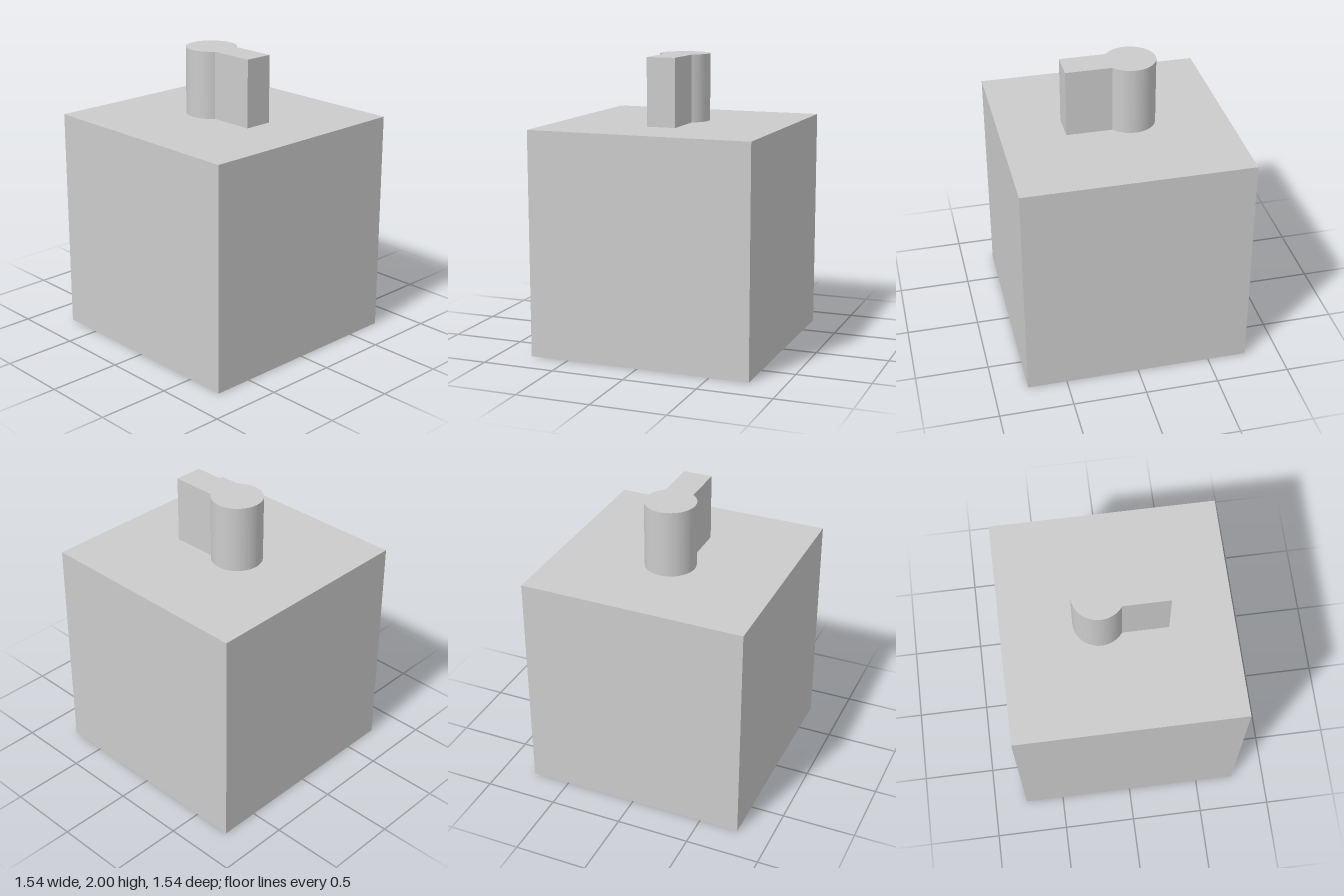
import * as THREE from 'three';

export function createModel() {
  const group = new THREE.Group();
  const material = new THREE.MeshStandardMaterial({ color: 0xcccccc, flatShading: true });
  const size = 1.538;

  // Solid cube standing on the ground
  const block = new THREE.Mesh(new THREE.BoxGeometry(size, size, size), material);
  block.name = 'block';
  block.position.y = size / 2;
  group.add(block);

  // Keyhole outline: round head at the back, straight slot toward the front
  const radius = 0.173, headZ = -0.118, halfSlot = 0.1, slotZ = 0.335;
  const start = -Math.acos(halfSlot / radius);
  const outline = new THREE.Shape();
  outline.moveTo(-halfSlot, -slotZ);
  outline.lineTo(halfSlot, -slotZ);
  outline.absarc(0, -headZ, radius, start, Math.PI - start, false);
  outline.closePath();

  // Keyhole-shaped post rising from the top face
  const geometry = new THREE.ExtrudeGeometry(outline, {
    depth: 2 - size, bevelEnabled: false, curveSegments: 36,
  });
  geometry.rotateX(-Math.PI / 2);
  const post = new THREE.Mesh(geometry, material);
  post.name = 'keyholePost';
  post.position.y = size;
  group.add(post);

  return group;
}
